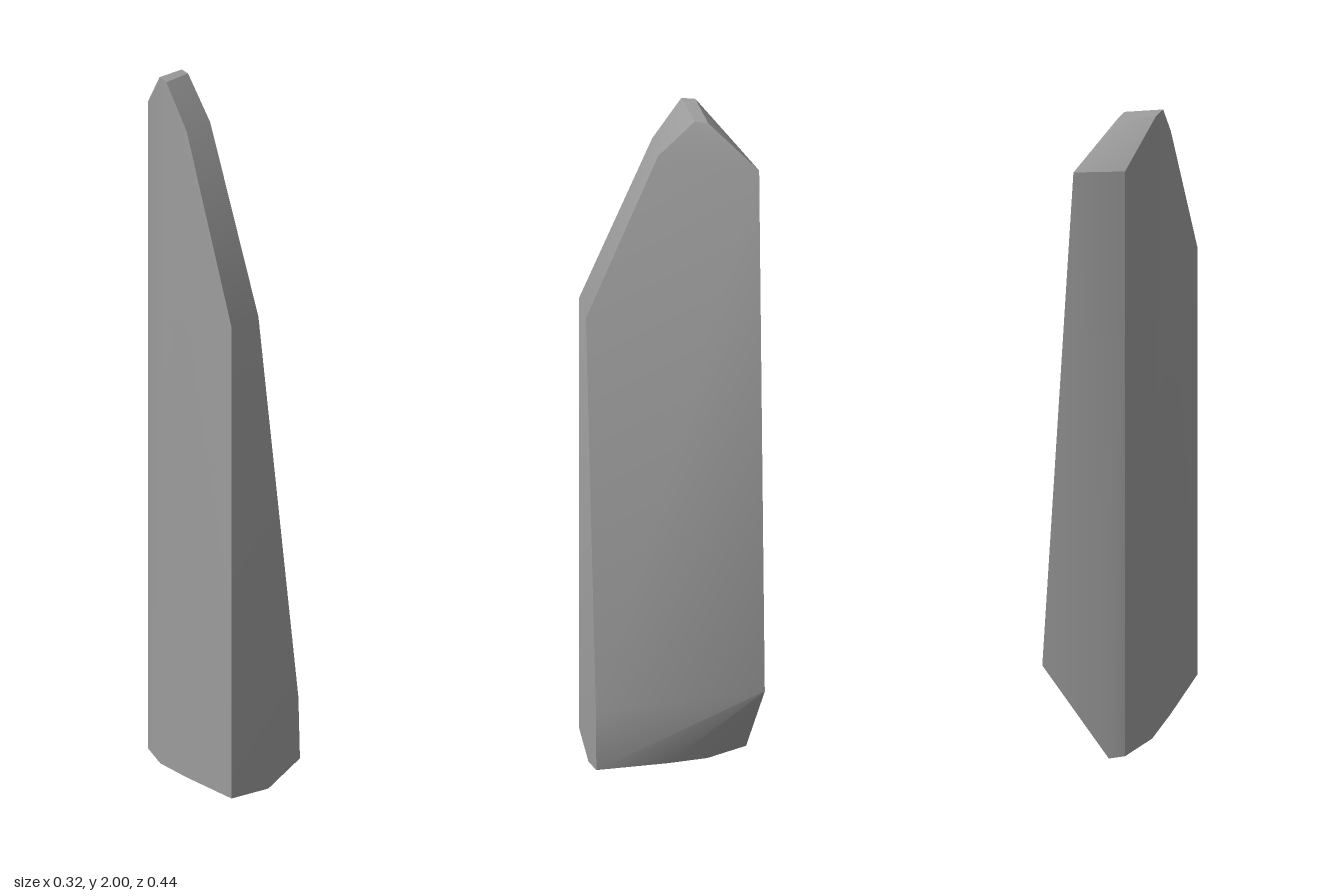
import * as THREE from 'three';
import { ConvexGeometry } from 'three/addons/geometries/ConvexGeometry.js';
import { toCreasedNormals } from 'three/addons/utils/BufferGeometryUtils.js';

// Corner points of the standing slab of rock, [x, y, z] per edge line
const edges = {
  frontOuter: [[-0.16, 0.015, 0.222], [-0.16, 1.38, 0.222], [-0.133, 1.88, 0.03]],
  frontInner: [[-0.02, 0, 0.222], [0.1, 0.05, 0.222], [0.094, 0.23, 0.222], [-0.058, 1.38, 0.222], [-0.044, 1.88, 0.03]],
  tip: [[-0.131, 2, -0.048], [-0.12, 2, -0.084], [-0.03, 1.988, -0.066], [-0.018, 1.985, -0.101]],
  back: [[-0.06, 1.88, -0.185], [0.072, 1.88, -0.222], [0.157, 0.285, -0.222], [-0.06, 0.004, -0.185]],
  base: [[0.1, 0.05, 0.03], [0.03, 0.008, -0.09], [-0.02, 0.002, -0.203], [-0.132, 0.008, 0.03], [-0.111, 0.006, -0.09]],
};

export function createModel() {
  const group = new THREE.Group();
  group.name = 'standingStone';

  const stone = new THREE.MeshStandardMaterial({ color: 0x9c9c9c });
  stone.name = 'grey stone';

  // Faceted hull, with shallow bends smoothed and hard edges kept
  const points = Object.values(edges).flat().map((p) => new THREE.Vector3(...p));
  const geometry = toCreasedNormals(new ConvexGeometry(points), 0.45);
  const slab = new THREE.Mesh(geometry, stone);
  slab.name = 'stoneSlab';
  group.add(slab);

  return group;
}
